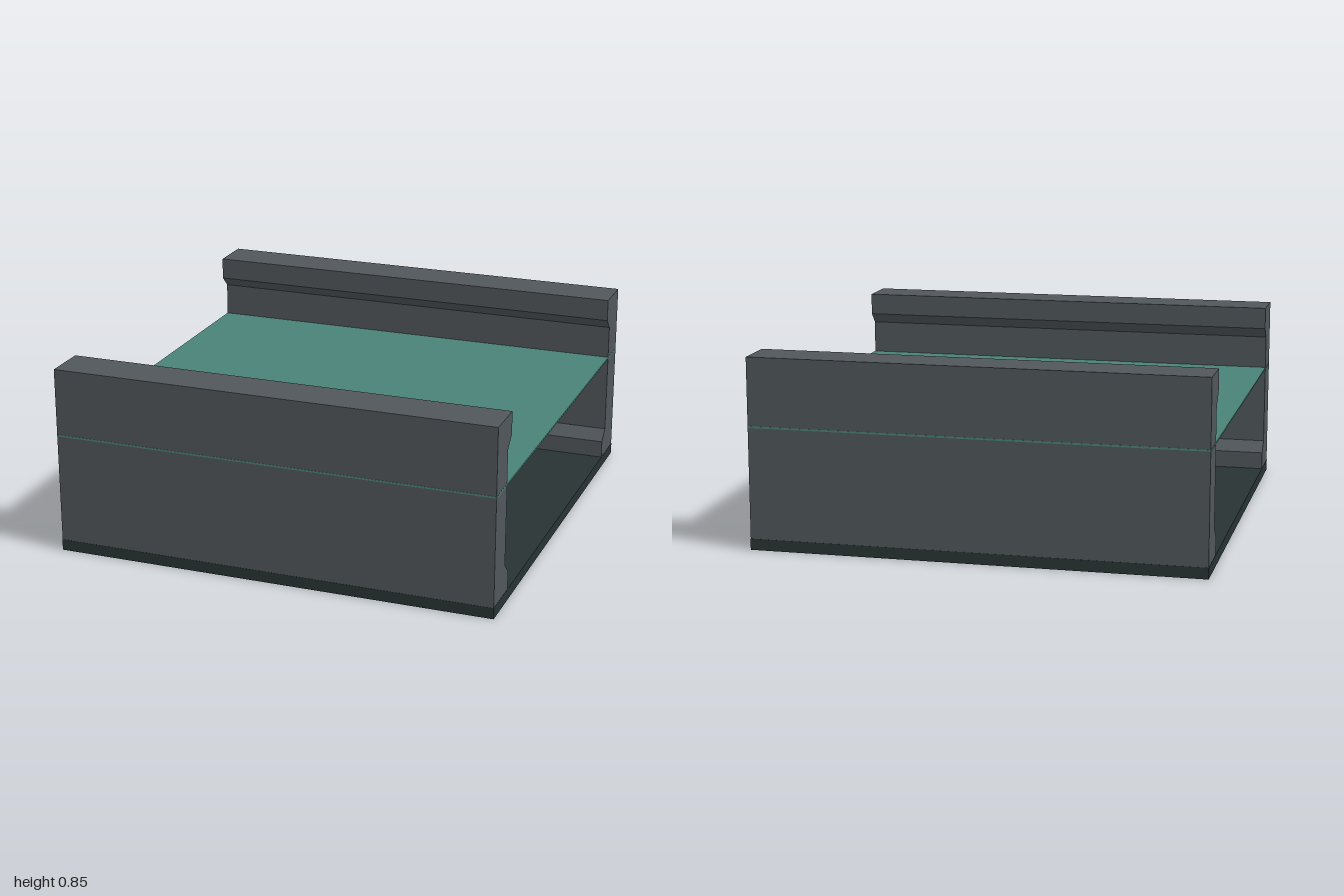
import * as THREE from 'three';

const material = (name, color) => {
  const m = new THREE.MeshStandardMaterial({ color });
  m.name = name;
  return m;
};

export function createModel() {
  const stone = material('grey stone', 0x50565a);
  const bed = material('dark bed', 0x283334);
  const water = material('green water', 0x4a8277);

  const model = new THREE.Group();
  model.name = 'canalSection';

  const add = (parent, name, geometry, mat, x = 0, y = 0, z = 0) => {
    const mesh = new THREE.Mesh(geometry, mat);
    mesh.name = name;
    mesh.position.set(x, y, z);
    parent.add(mesh);
    return mesh;
  };

  // Floor slab and thin water sheet
  add(model, 'canalFloor', new THREE.BoxGeometry(2, 0.05, 2), bed, 0, 0.025, 0);
  add(model, 'waterSurface', new THREE.BoxGeometry(2, 0.008, 2), water, 0, 0.545, 0);

  // Wall cross-section (z, y): coping lip on top, chamfered foot below
  const profile = [
    [0.999, 0.05], [0.999, 0.85], [0.8, 0.85], [0.8, 0.75],
    [0.85, 0.7], [0.85, 0.18], [0.8, 0.13], [0.8, 0.05],
  ];
  const wallShape = new THREE.Shape(profile.map(([z, y]) => new THREE.Vector2(z, y)));
  const wallGeometry = new THREE.ExtrudeGeometry(wallShape, { depth: 1.998, bevelEnabled: false });
  wallGeometry.translate(0, 0, -0.999).rotateY(-Math.PI / 2);

  // Raised brick with chamfered edges, facing the water
  const w = 0.14, h = 0.052;
  const face = new THREE.Shape([
    new THREE.Vector2(-w, -h), new THREE.Vector2(w, -h),
    new THREE.Vector2(w, h), new THREE.Vector2(-w, h),
  ]);
  const brickGeometry = new THREE.ExtrudeGeometry(face, {
    depth: 0.01, bevelThickness: 0.04, bevelSize: 0.018, bevelSegments: 1,
  });
  brickGeometry.rotateY(Math.PI);

  // The same wall on both sides, turned half way round
  for (const [name, turn] of [['frontWall', 0], ['backWall', Math.PI]]) {
    const wall = new THREE.Group();
    wall.name = name;
    wall.rotation.y = turn;
    add(wall, 'wallBody', wallGeometry, stone);
    add(wall, 'upperBrick', brickGeometry, stone, -0.1, 0.392, 0.852);
    add(wall, 'lowerBrick', brickGeometry, stone, 0.1, 0.202, 0.852);
    model.add(wall);
  }
  return model;
}
